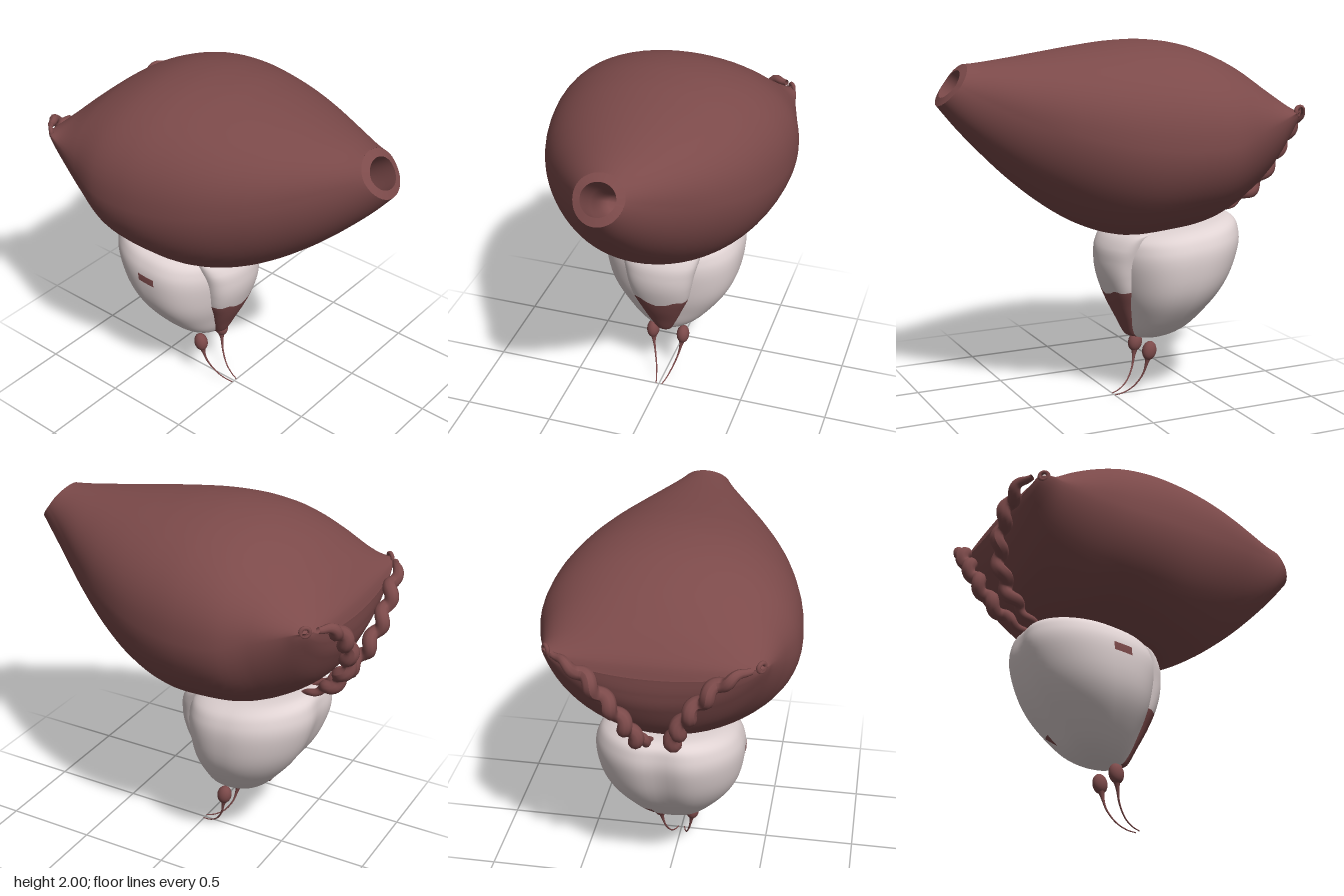
import * as THREE from 'three';
import { ParametricGeometry } from 'three/addons/geometries/ParametricGeometry.js';

const maroon = new THREE.MeshStandardMaterial({ color: 0x7c4a4a, side: THREE.DoubleSide });
maroon.name = 'maroon';
const pale = new THREE.MeshStandardMaterial({ color: 0xe0d3d3, side: THREE.DoubleSide });
pale.name = 'pale';

// Smooth interpolation through rows of numbers, t in 0..1
function sample(rows, t) {
  const f = Math.min(Math.max(t, 0), 1) * (rows.length - 1);
  const i = Math.min(Math.floor(f), rows.length - 2), s = f - i;
  const at = k => rows[Math.min(Math.max(k, 0), rows.length - 1)];
  const [p0, p1, p2, p3] = [at(i - 1), at(i), at(i + 1), at(i + 2)];
  return p1.map((b, k) => {
    const a = p0[k], c = p2[k], d = p3[k];
    return b + 0.5 * s * (c - a + s * (2 * a - 5 * b + 4 * c - d + s * (3 * (b - c) + d - a)));
  });
}

function surface(name, fn, nu, nv, material) {
  const mesh = new THREE.Mesh(new ParametricGeometry(fn, nu, nv), material);
  mesh.name = name;
  return mesh;
}

// Section ring: [topY, topZ, sideX, sideY, sideZ, bottomY, bottomZ, topPinch, bottomPinch]
function ringPoint(r, u, p) {
  const a = u * Math.PI * 2, c = Math.cos(a);
  const k = Math.pow(Math.abs(c), c > 0 ? r[7] : r[8]);
  const [y, z] = c > 0 ? [r[0], r[1]] : [r[5], r[6]];
  p.set(r[2] * Math.sin(a), r[3] + (y - r[3]) * k, r[4] + (z - r[4]) * k);
}

const bodyRows = [
  [1.908, 0.845, 0.13, 1.81, 0.91, 1.70, 1.00, 1, 1],
  [1.912, 0.77, 0.20, 1.75, 0.80, 1.535, 0.86, 0.95, 1],
  [1.930, 0.60, 0.34, 1.65, 0.60, 1.305, 0.63, 0.9, 1.03],
  [1.955, 0.40, 0.47, 1.57, 0.40, 1.12, 0.40, 0.85, 1.06],
  [1.980, 0.20, 0.57, 1.52, 0.20, 1.005, 0.20, 0.84, 1.06],
  [2.000, 0.00, 0.635, 1.49, 0.00, 0.945, 0.00, 0.84, 1.06],
  [2.000, -0.20, 0.67, 1.48, -0.20, 0.95, -0.20, 0.84, 1.06],
  [1.965, -0.40, 0.668, 1.49, -0.40, 0.98, -0.42, 0.86, 1.06],
  [1.880, -0.60, 0.615, 1.54, -0.58, 1.05, -0.60, 0.92, 1.12],
  [1.768, -0.75, 0.57, 1.59, -0.73, 1.18, -0.77, 1.05, 1.2],
  [1.685, -0.835, 0.555, 1.62, -0.80, 1.35, -0.87, 1.15, 1.25],
  [1.620, -0.885, 0.53, 1.63, -0.845, 1.46, -0.90, 1.2, 1.25],
  [1.550, -0.907, 0.49, 1.63, -0.865, 1.55, -0.907, 1.2, 1.2],
];
const rimRows = [
  [1.878, 0.882, 0.09, 1.81, 0.925, 1.742, 0.982, 1, 1],
  [1.908, 0.845, 0.13, 1.81, 0.91, 1.70, 1.00, 1, 1],
];
const cavityRows = [
  [1.601, 0.6, 0.002, 1.60, 0.6, 1.599, 0.6, 1, 1],
  [1.66, 0.62, 0.08, 1.62, 0.64, 1.56, 0.68, 1, 1],
  [1.78, 0.75, 0.09, 1.71, 0.79, 1.64, 0.85, 1, 1],
  rimRows[0],
];

// Pouch section: [y, frontZ, backZ, halfWidth]
const pouchRows = [
  [0.327, -0.2, -0.204, 0.002], [0.338, -0.12, -0.32, 0.09], [0.395, -0.08, -0.435, 0.185],
  [0.50, -0.045, -0.54, 0.28], [0.60, -0.015, -0.625, 0.347], [0.70, 0.005, -0.685, 0.384],
  [0.82, 0.02, -0.728, 0.40], [0.90, 0.015, -0.728, 0.388], [0.96, -0.01, -0.70, 0.345],
  [0.99, -0.09, -0.61, 0.24], [1.0, -0.30, -0.304, 0.002],
];
function pouchPoint(u, v, p, grow = 0) {
  const [y, zf, zb, w] = sample(pouchRows, v);
  const a = u * Math.PI * 2, c = Math.cos(a), mid = (zf + zb) / 2;
  const x = (w + grow) * Math.sin(a);
  // Shallow groove down the middle of the back
  const groove = c < 0 ? 0.035 * Math.exp(-((x / 0.1) ** 2)) * Math.sin(Math.PI * v) : 0;
  // Fuller, squarer front
  const k = c > 0 ? Math.pow(c, 0.72) : c;
  const z = mid + ((zf - zb) / 2 + grow) * k + groove;
  p.set(x, y - (z + 0.3) * 0.13 * Math.max(0, (y - 0.33) / 0.6), z);
}

// Front panel: [y, halfWidth, edgeZ, frontZ]
const panelRows = [
  [0.340, 0.04, -0.14, -0.10], [0.36, 0.05, -0.12, -0.065], [0.45, 0.09, -0.085, -0.02],
  [0.54, 0.128, -0.065, 0.025], [0.63, 0.165, -0.045, 0.06], [0.72, 0.185, -0.03, 0.085],
  [0.80, 0.20, -0.03, 0.09], [0.88, 0.218, -0.04, 0.075], [0.95, 0.232, -0.075, 0.015],
  [0.975, 0.235, -0.14, -0.10],
];
function panelPoint(u, t, p) {
  const [y, w, ze, zf] = sample(panelRows, t);
  const a = (u - 0.5) * Math.PI;
  p.set(w * Math.sin(a), y, ze + (zf - ze) * Math.pow(Math.max(0, Math.cos(a)), 0.75));
}
// Wavy colour boundary across the panel
const split = u => 0.402 + 0.044 * Math.min(1, Math.abs(Math.sin((u - 0.5) * Math.PI)) * 1.7)
  + 0.004 * Math.sin(u * 28);

// Tube of varying radius along points, optionally wound into a helix
function taperedTube(name, points, radius, turns = 0, wind = 0) {
  const n = turns ? 150 : 24;
  let curve = new THREE.CatmullRomCurve3(points);
  if (turns) {
    const base = curve, frames = base.computeFrenetFrames(n);
    const wound = [];
    for (let i = 0; i <= n; i++) {
      const t = i / n, a = t * turns * Math.PI * 2, r = wind * Math.min(1, 5 * t, 5 * (1 - t));
      wound.push(base.getPointAt(t).addScaledVector(frames.normals[i], r * Math.cos(a))
        .addScaledVector(frames.binormals[i], r * Math.sin(a)));
    }
    curve = new THREE.CatmullRomCurve3(wound);
  }
  const geo = new THREE.TubeGeometry(curve, n, 1, 10);
  const pos = geo.attributes.position, v = new THREE.Vector3();
  for (let i = 0; i < pos.count; i++) {
    const t = Math.floor(i / 11) / n, c = curve.getPointAt(t);
    v.fromBufferAttribute(pos, i).sub(c).multiplyScalar(radius(t)).add(c);
    pos.setXYZ(i, v.x, v.y, v.z);
  }
  geo.computeVertexNormals();
  const mesh = new THREE.Mesh(geo, maroon);
  mesh.name = name;
  return mesh;
}

export function createModel() {
  const model = new THREE.Group();
  model.name = 'model';

  // Large hollow body with an open front neck
  const loft = (name, rows, nu, nv) =>
    surface(name, (u, v, p) => ringPoint(sample(rows, v), u, p), nu, nv, maroon);
  model.add(loft('body', bodyRows, 64, 60), loft('neckRim', rimRows, 40, 1),
    loft('neckCavity', cavityRows, 40, 12));

  // Pale pouch underneath with its two-tone front panel
  model.add(surface('pouch', (u, v, p) => pouchPoint(u, v, p), 64, 48, pale));
  model.add(surface('panelUpper', (u, v, p) => panelPoint(u, split(u) + (1 - split(u)) * v, p), 40, 20, pale));
  model.add(surface('panelLower', (u, v, p) => panelPoint(u, split(u) * v, p), 40, 16, maroon));

  // Small painted marks on the pouch
  model.add(surface('sideMark', (u, v, p) => pouchPoint(0.749 + 0.027 * u, 0.585 + 0.045 * v, p, 0.004), 4, 4, maroon));
  model.add(surface('backMark', (u, v, p) =>
    pouchPoint(0.45 - 0.04 * (1 - u) * v, 0.225 + 0.05 * v, p, 0.004), 4, 4, maroon));

  for (const s of [1, -1]) {
    const side = s > 0 ? 'left' : 'right';
    const pts = list => list.map(([x, y, z]) => new THREE.Vector3(s * x, y, z));

    // Open ring at each rear corner
    const ring = new THREE.Mesh(new THREE.TorusGeometry(0.023, 0.011, 10, 20), maroon);
    ring.name = side + 'CornerRing';
    ring.position.set(s * 0.522, 1.632, -0.838);
    ring.rotation.y = s * 2.25;
    model.add(ring);

    // Twisted cord from the corner down to the pouch
    model.add(taperedTube(side + 'Cord', pts([
      [0.48, 1.635, -0.885], [0.41, 1.62, -0.925], [0.32, 1.555, -0.935], [0.23, 1.45, -0.938],
      [0.155, 1.33, -0.915], [0.11, 1.21, -0.86], [0.08, 1.11, -0.775], [0.05, 1.015, -0.61],
    ]), t => 0.012 + 0.026 * Math.min(1, 5 * t + 0.15, 4 * (1 - t)), s * 6.5, 0.016));

    // Hanging bead with a thin curved tail
    const bead = new THREE.Mesh(new THREE.SphereGeometry(1, 24, 16), maroon);
    bead.name = side + 'Bead';
    bead.scale.set(0.037, 0.055, 0.041);
    bead.position.set(s * 0.092, 0.265, -0.177);
    bead.rotation.x = -0.2;
    model.add(bead);
    model.add(taperedTube(side + 'Tail', pts([
      [0.088, 0.23, -0.172], [0.084, 0.19, -0.165], [0.07, 0.12, -0.147],
      [0.047, 0.05, -0.10], [0.03, 0.015, -0.045], [0.018, 0.004, 0.0],
    ]), t => 0.003 + 0.017 * Math.pow(1 - t, 9) + 0.003 * (1 - t)));
  }
  return model;
}
